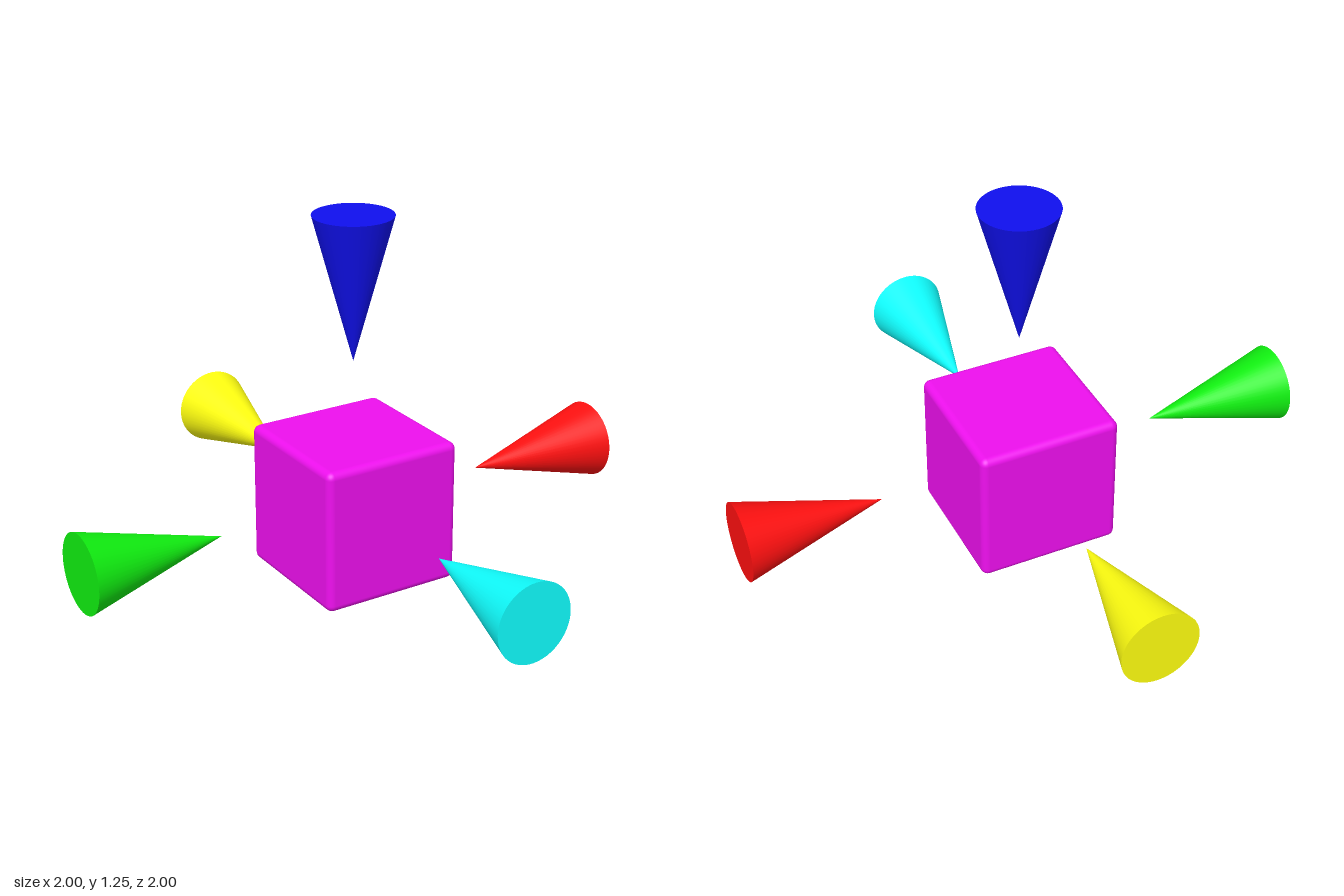
import * as THREE from 'three';
import { RoundedBoxGeometry } from 'three/addons/geometries/RoundedBoxGeometry.js';

const CENTRE_Y = 0.25;
const CONE_LENGTH = 0.495;
const CONE_RADIUS = 0.135;
const BASE_DISTANCE = 1;

export function createModel() {
  const model = new THREE.Group();

  // Central cube with softened edges
  const cube = new THREE.Mesh(
    new RoundedBoxGeometry(0.497, 0.497, 0.497, 4, 0.025),
    new THREE.MeshStandardMaterial({ color: 0xee10ee })
  );
  cube.name = 'centreCube';
  cube.position.y = 0.2485;
  model.add(cube);

  // Five floating cones, each with its tip towards the cube
  const coneGeometry = new THREE.ConeGeometry(CONE_RADIUS, CONE_LENGTH, 48);
  const cones = [
    ['leftCone', 0xff1010, [1, 0, 0]],
    ['rightCone', 0x10ee10, [-1, 0, 0]],
    ['topCone', 0x1010ee, [0, 1, 0]],
    ['frontCone', 0x10ffff, [0, 0, 1]],
    ['backCone', 0xffff10, [0, 0, -1]],
  ];
  for (const [name, color, axis] of cones) {
    const outward = new THREE.Vector3(...axis);
    const cone = new THREE.Mesh(coneGeometry, new THREE.MeshStandardMaterial({ color }));
    cone.name = name;
    cone.quaternion.setFromUnitVectors(new THREE.Vector3(0, 1, 0), outward.clone().negate());
    cone.position.copy(outward).multiplyScalar(BASE_DISTANCE - CONE_LENGTH / 2);
    cone.position.y += CENTRE_Y;
    model.add(cone);
  }

  return model;
}
